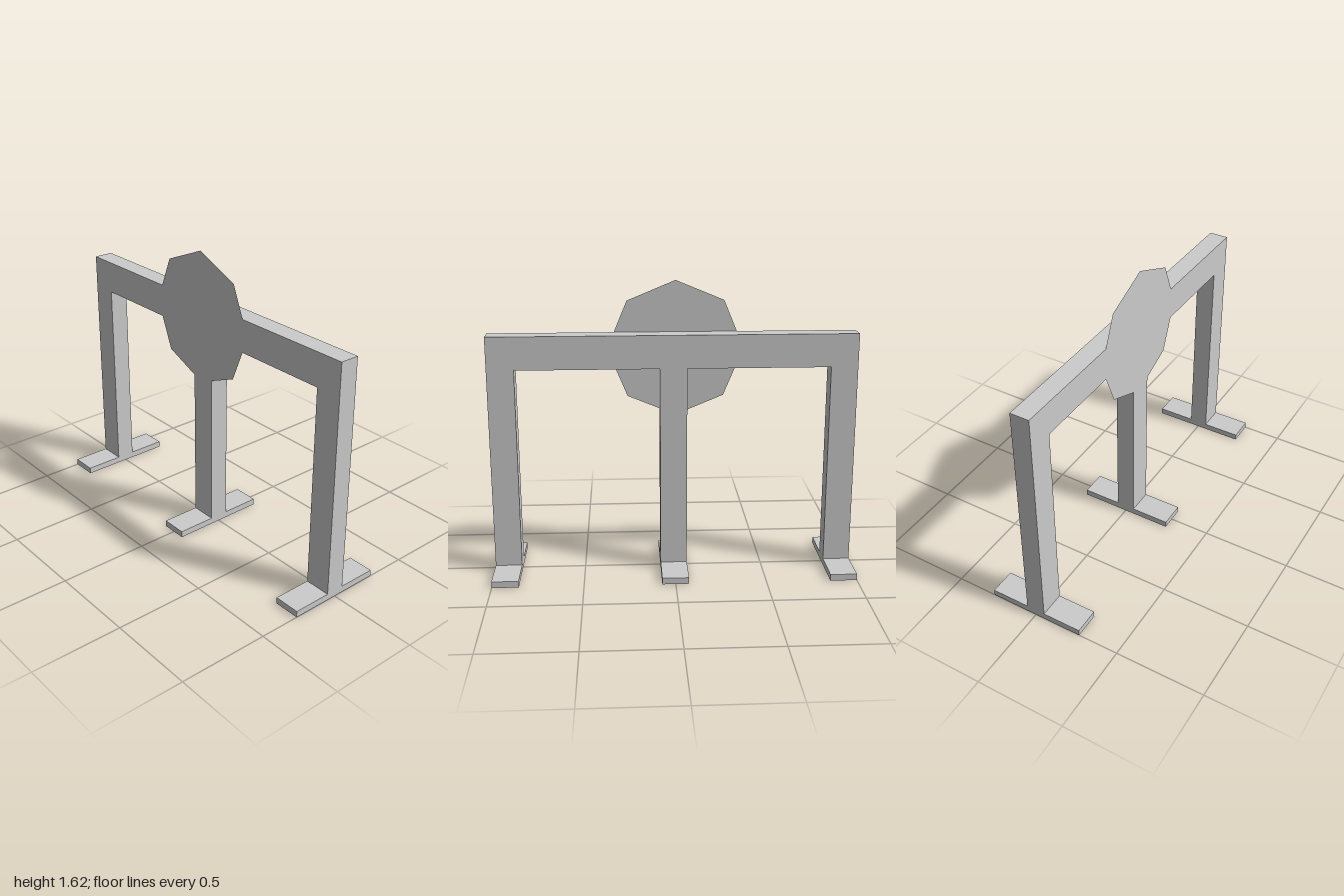
import * as THREE from 'three';

const LEG_W = 0.147, DEPTH = 0.107, TOP = 1.337, BEAM_BOTTOM = 1.155;
const FOOT_H = 0.036, FOOT_D = 0.544;

export function createModel() {
  const model = new THREE.Group();
  model.name = 'signBarrier';
  const material = new THREE.MeshStandardMaterial({ color: 0xcccccc, flatShading: true });

  const add = (name, geometry, mat, x, y, z) => {
    const mesh = new THREE.Mesh(geometry, mat);
    mesh.name = name;
    mesh.position.set(x, y, z);
    model.add(mesh);
  };

  // One-piece frame: top beam with three legs, standing on the feet
  const h = LEG_W / 2;
  const outline = [
    [-1, FOOT_H], [-1 + LEG_W, FOOT_H], [-1 + LEG_W, BEAM_BOTTOM],
    [-h, BEAM_BOTTOM], [-h, FOOT_H], [h, FOOT_H], [h, BEAM_BOTTOM],
    [1 - LEG_W, BEAM_BOTTOM], [1 - LEG_W, FOOT_H], [1, FOOT_H],
    [1, TOP], [-1, TOP],
  ].map(([x, y]) => new THREE.Vector2(x, y));
  const frame = new THREE.ExtrudeGeometry(new THREE.Shape(outline), { depth: DEPTH, bevelEnabled: false });
  add('frame', frame, material, 0, 0, -DEPTH / 2);

  // Flat foot under each leg
  const foot = new THREE.BoxGeometry(LEG_W, FOOT_H, FOOT_D);
  const footNames = ['rightFoot', 'middleFoot', 'leftFoot'];
  footNames.forEach((name, i) => add(name, foot, material, (i - 1) * (1 - h), FOOT_H / 2, 0));

  // Thin octagonal sign plate on the front face, one corner up
  const plateMaterial = material.clone();
  plateMaterial.side = THREE.DoubleSide;
  add('signPlate', new THREE.CircleGeometry(0.372, 8), plateMaterial, -0.015, 1.244, DEPTH / 2 + 0.002);

  return model;
}
